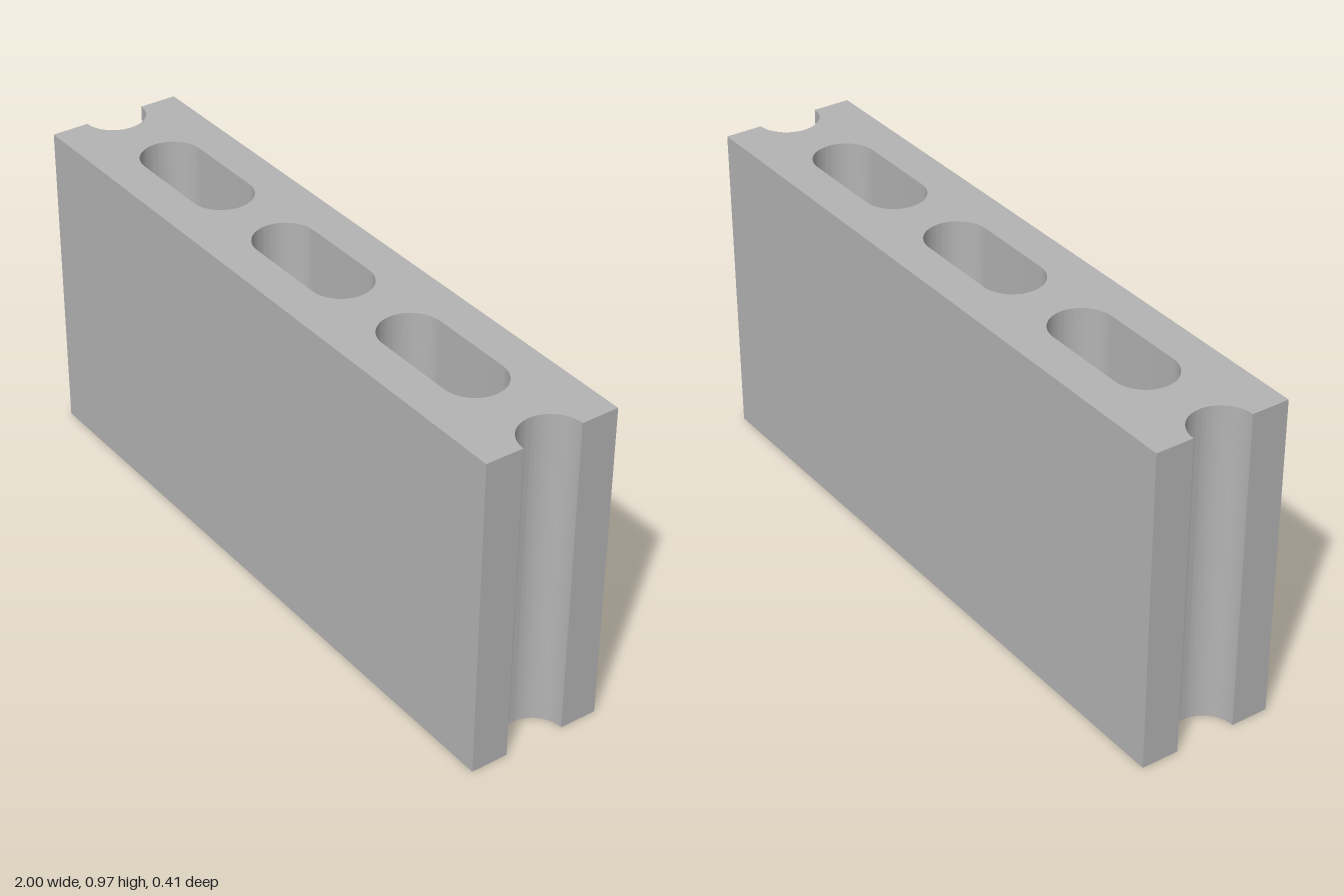
import * as THREE from 'three';
import { toCreasedNormals } from 'three/addons/utils/BufferGeometryUtils.js';

const HALF_LENGTH = 1, HALF_DEPTH = 0.205, HEIGHT = 0.972;
const R = 0.092; // radius of the end grooves and of the slot ends

// Rounded slot running through the block from top to bottom
function slot(cx, halfWidth) {
  const path = new THREE.Path();
  const s = halfWidth - R;
  path.moveTo(cx - s, -R);
  path.lineTo(cx + s, -R);
  path.absarc(cx + s, 0, R, -Math.PI / 2, Math.PI / 2, false);
  path.lineTo(cx - s, R);
  path.absarc(cx - s, 0, R, Math.PI / 2, Math.PI * 1.5, false);
  return path;
}

export function createModel() {
  const group = new THREE.Group();
  group.name = 'hollowBlock';
  const concrete = new THREE.MeshStandardMaterial({ color: 0xb4b4b4 });
  concrete.name = 'concrete grey';

  // Plan outline with a half-round groove in each end
  const plan = new THREE.Shape();
  plan.moveTo(-HALF_LENGTH, -HALF_DEPTH);
  plan.lineTo(HALF_LENGTH, -HALF_DEPTH);
  plan.lineTo(HALF_LENGTH, -R);
  plan.absarc(HALF_LENGTH, 0, R, -Math.PI / 2, Math.PI / 2, true);
  plan.lineTo(HALF_LENGTH, HALF_DEPTH);
  plan.lineTo(-HALF_LENGTH, HALF_DEPTH);
  plan.lineTo(-HALF_LENGTH, R);
  plan.absarc(-HALF_LENGTH, 0, R, Math.PI / 2, -Math.PI / 2, true);
  plan.closePath();

  // Three evenly spaced cores
  for (const cx of [-0.563, 0, 0.563]) plan.holes.push(slot(cx, 0.219));

  const solid = new THREE.ExtrudeGeometry(plan, { depth: HEIGHT, bevelEnabled: false, curveSegments: 24 });
  solid.rotateX(-Math.PI / 2);
  const block = new THREE.Mesh(toCreasedNormals(solid, 0.6), concrete);
  block.name = 'block';
  group.add(block);
  return group;
}
